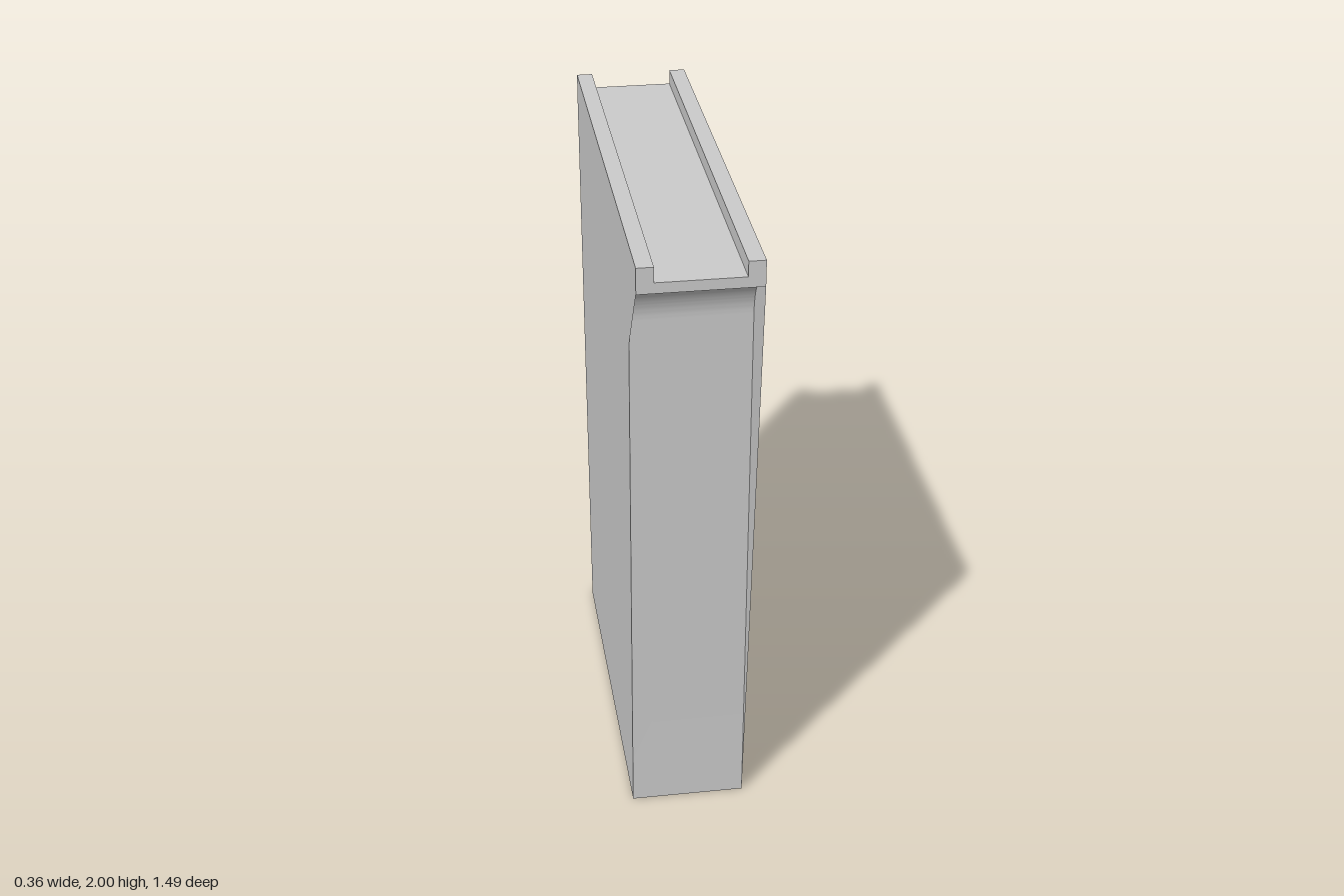
import * as THREE from 'three';
import { toCreasedNormals } from 'three/addons/utils/BufferGeometryUtils.js';

const HALF_W = 0.18;      // half width in x
const END = 0.743;        // half length of the top rail
const SLAB_Y = 1.92;      // underside of the top rail
const FRONT = 0.58, BACK = -0.6, WALL = 0.113;

export function createModel() {
  const group = new THREE.Group();
  const material = new THREE.MeshStandardMaterial({ color: 0xcccccc });
  const sheetMaterial = new THREE.MeshStandardMaterial({ color: 0xcccccc, side: THREE.DoubleSide });

  const add = (name, geometry, mat = material) => {
    const mesh = new THREE.Mesh(geometry, mat);
    mesh.name = name;
    group.add(mesh);
    return mesh;
  };

  // Top rail: a shallow channel running along z
  const channel = new THREE.Shape([
    [-HALF_W, SLAB_Y], [HALF_W, SLAB_Y], [HALF_W, 2], [0.13, 2],
    [0.13, 1.953], [-0.13, 1.953], [-0.13, 2], [-HALF_W, 2],
  ].map(([x, y]) => new THREE.Vector2(x, y)));
  const rail = new THREE.ExtrudeGeometry(channel, { depth: END * 2, bevelEnabled: false });
  rail.translate(0, 0, -END);
  add('topRail', rail);

  // End walls: vertical, flaring out under the rail in a concave fillet
  const endWall = (name, z, s) => {
    const r = END - Math.abs(z);
    const shape = new THREE.Shape();
    shape.moveTo(z - s * WALL, 0);
    shape.lineTo(z, 0);
    shape.lineTo(z, SLAB_Y - r);
    shape.absarc(s * END, SLAB_Y - r, r, s > 0 ? Math.PI : 0, Math.PI / 2, s > 0);
    shape.lineTo(z - s * WALL, SLAB_Y);
    const geo = new THREE.ExtrudeGeometry(shape, {
      depth: HALF_W * 2, bevelEnabled: false, curveSegments: 20,
    });
    geo.rotateY(-Math.PI / 2);
    geo.translate(HALF_W, 0, 0);
    add(name, toCreasedNormals(geo, 0.5));
  };
  endWall('frontWall', FRONT, 1);
  endWall('backWall', BACK, -1);

  // Inner ribs dividing the open-bottomed body into three cells
  const step = (FRONT - BACK - WALL) / 3;
  for (let i = 1; i <= 2; i++) {
    const rib = new THREE.BoxGeometry(HALF_W * 2, SLAB_Y, WALL);
    add('innerRib', rib).position.set(0, SLAB_Y / 2, FRONT - WALL / 2 - i * step);
  }

  // Thin side panels: one end tapers all the way, the other only below the rail
  const frontKnee = [FRONT, 1.68], backKnee = [BACK, 1.72];
  const sidePanel = (name, x, knees) => {
    const points = [
      [BACK, 0], [FRONT, 0], ...knees.front, [END, SLAB_Y], [-END, SLAB_Y], ...knees.back,
    ].map(([z, y]) => new THREE.Vector2(z, y));
    const geo = new THREE.ShapeGeometry(new THREE.Shape(points));
    geo.rotateY(-Math.PI / 2);
    geo.translate(x, 0, 0);
    add(name, geo, sheetMaterial);
  };
  sidePanel('leftPanel', HALF_W, { front: [], back: [backKnee] });
  sidePanel('rightPanel', -HALF_W, { front: [frontKnee], back: [] });

  return group;
}
